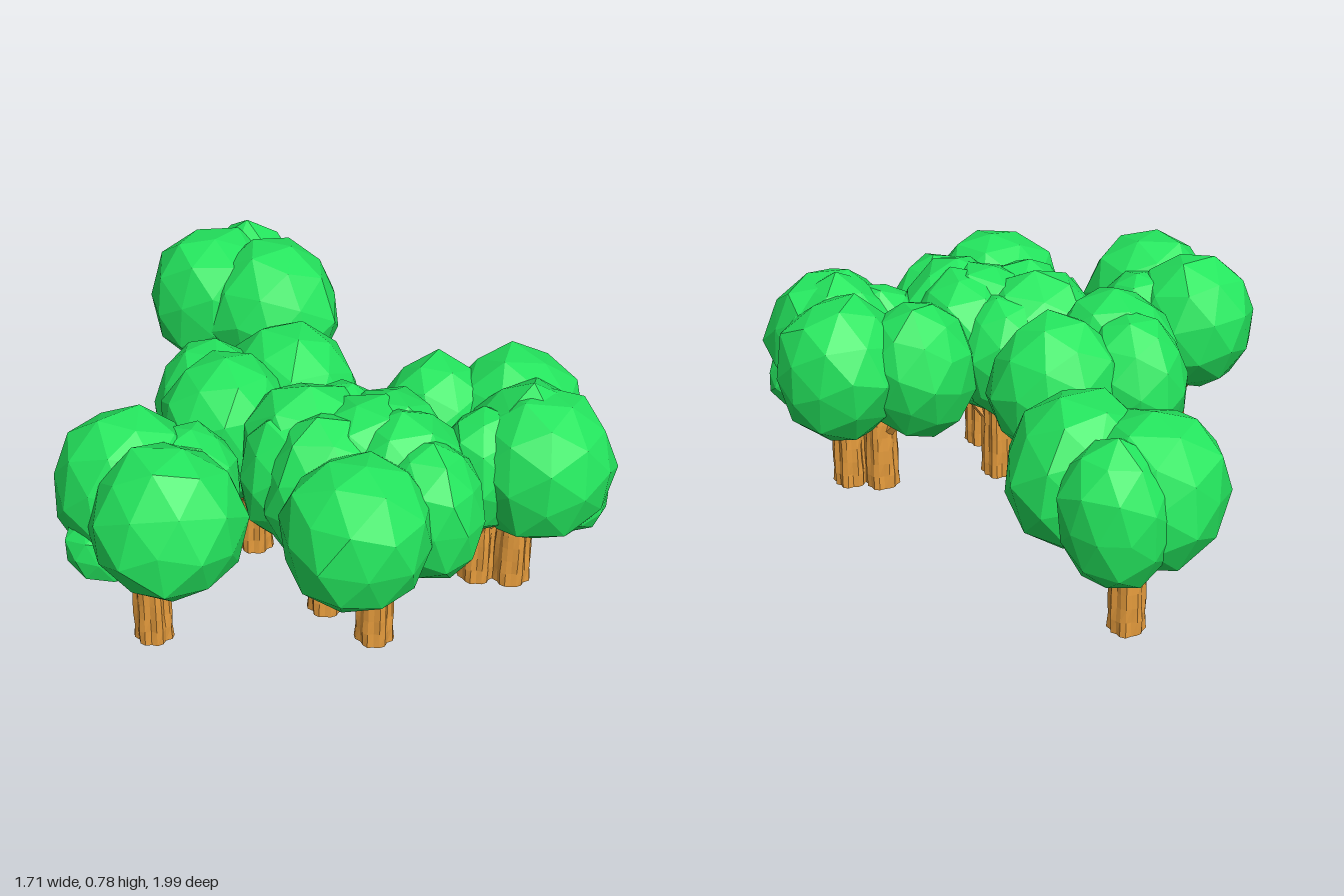
import * as THREE from 'three';
import { mergeVertices } from 'three/addons/utils/BufferGeometryUtils.js';

const leafMat = new THREE.MeshStandardMaterial({ color: 0x24e65e, flatShading: true });
const barkMat = new THREE.MeshStandardMaterial({ color: 0xe39a3c, flatShading: true });

function seeded(seed) {
  let s = seed * 7919 + 13;
  return () => (s = (s * 16807) % 2147483647) / 2147483647;
}

// Faceted, slightly irregular ball of leaves
function leafBall(name, x, y, z, r, ry, rand) {
  let geo = new THREE.IcosahedronGeometry(1, 1);
  geo.deleteAttribute('normal');
  geo.deleteAttribute('uv');
  geo = mergeVertices(geo, 1e-4);
  geo.rotateX(rand() * 6).rotateY(rand() * 6);
  const p = geo.attributes.position;
  for (let i = 0; i < p.count; i++) {
    const k = 0.95 + rand() * 0.11;
    p.setXYZ(i, p.getX(i) * k * r, p.getY(i) * k * ry, p.getZ(i) * k * r);
  }
  geo.computeVertexNormals();
  const mesh = new THREE.Mesh(geo, leafMat);
  mesh.name = name;
  mesh.position.set(x, y, z);
  return mesh;
}

// Uneven trunk with vertical bark grooves
function trunk(rand) {
  const sides = 20;
  const geo = new THREE.CylinderGeometry(0.052, 0.06, 0.45, sides, 9);
  const grooves = Array.from({ length: sides }, (_, i) => (i % 3 === 0 ? 0.86 : 0.98) + rand() * 0.07);
  const p = geo.attributes.position;
  for (let i = 0; i < p.count; i++) {
    const x = p.getX(i), y = p.getY(i), z = p.getZ(i);
    const n = Math.round((Math.atan2(z, x) / (2 * Math.PI) + 1) * sides) % sides;
    const k = grooves[n] + 0.04 * Math.sin(n * 5 + Math.round(y * 20) * 2.3);
    p.setXYZ(i, x * k, y, z * k);
  }
  geo.computeVertexNormals();
  const mesh = new THREE.Mesh(geo, barkMat);
  mesh.name = 'trunk';
  mesh.position.y = 0.225;
  return mesh;
}

// Short branch leaning out of the trunk into the crown
function branch(dx, dz) {
  const from = new THREE.Vector3(0, 0.18, 0);
  const dir = new THREE.Vector3(dx, 0.13, dz);
  const mesh = new THREE.Mesh(new THREE.CylinderGeometry(0.016, 0.028, dir.length(), 5), barkMat);
  mesh.name = 'branch';
  mesh.position.copy(from).addScaledVector(dir, 0.5);
  mesh.quaternion.setFromUnitVectors(new THREE.Vector3(0, 1, 0), dir.normalize());
  return mesh;
}

// One tree: trunk at (tx, tz), crown of balls [x, z, radius], optional low tuft [x, z]
function makeTree(name, seed, [tx, tz], balls, tuft) {
  const rand = seeded(seed);
  const tree = new THREE.Group();
  tree.name = name;
  tree.position.set(tx, 0, tz);
  tree.add(trunk(rand));
  for (const [x, z, r] of balls) {
    const dx = x - tx, dz = z - tz;
    const reach = 0.12 / Math.hypot(dx, dz);
    // Smaller balls hang a little lower
    const y = r < 0.2 ? 0.5 : 0.515;
    tree.add(leafBall('leafBall', dx, y, dz, r, Math.min(0.25, r + 0.06), rand));
    tree.add(branch(dx * reach, dz * reach));
  }
  // Underside of the crown around the trunk top
  tree.add(leafBall('crownCore', 0, 0.45, 0, 0.18, 0.19, rand));
  if (tuft) tree.add(leafBall('lowTuft', tuft[0] - tx, 0.38, tuft[1] - tz, 0.135, 0.12, rand));
  return tree;
}

export function createModel() {
  const grove = new THREE.Group();
  grove.name = 'grove';
  grove.add(
    makeTree('backTree', 1, [-0.09, -0.675], [[-0.14, -0.73, 0.235], [0.03, -0.58, 0.24], [-0.01, -0.82, 0.18]]),
    makeTree('middleTree', 2, [-0.18, 0.08], [[-0.04, 0, 0.225], [-0.28, 0.14, 0.215], [-0.3, -0.02, 0.185]]),
    makeTree('leftTree', 3, [-0.59, 0.47], [[-0.63, 0.38, 0.225], [-0.545, 0.59, 0.235], [-0.44, 0.41, 0.15]], [-0.71, 0.46]),
    makeTree('frontTree', 4, [0.08, 0.64], [[-0.02, 0.765, 0.23], [0.18, 0.56, 0.21], [0.22, 0.69, 0.175]]),
    makeTree('centreTreeA', 5, [0.07, 0.39], [[-0.06, 0.36, 0.225], [0.17, 0.44, 0.21], [0.06, 0.29, 0.165]]),
    makeTree('centreTreeB', 6, [-0.03, 0.46], [[-0.05, 0.51, 0.195], [0.09, 0.48, 0.205], [-0.13, 0.42, 0.17]]),
    makeTree('rightTreeA', 7, [0.49, 0.41], [[0.37, 0.26, 0.19], [0.6, 0.5, 0.205], [0.45, 0.53, 0.15]]),
    makeTree('rightTreeB', 8, [0.595, 0.45], [[0.62, 0.31, 0.225], [0.62, 0.555, 0.23]], [0.72, 0.55]),
  );
  return grove;
}
